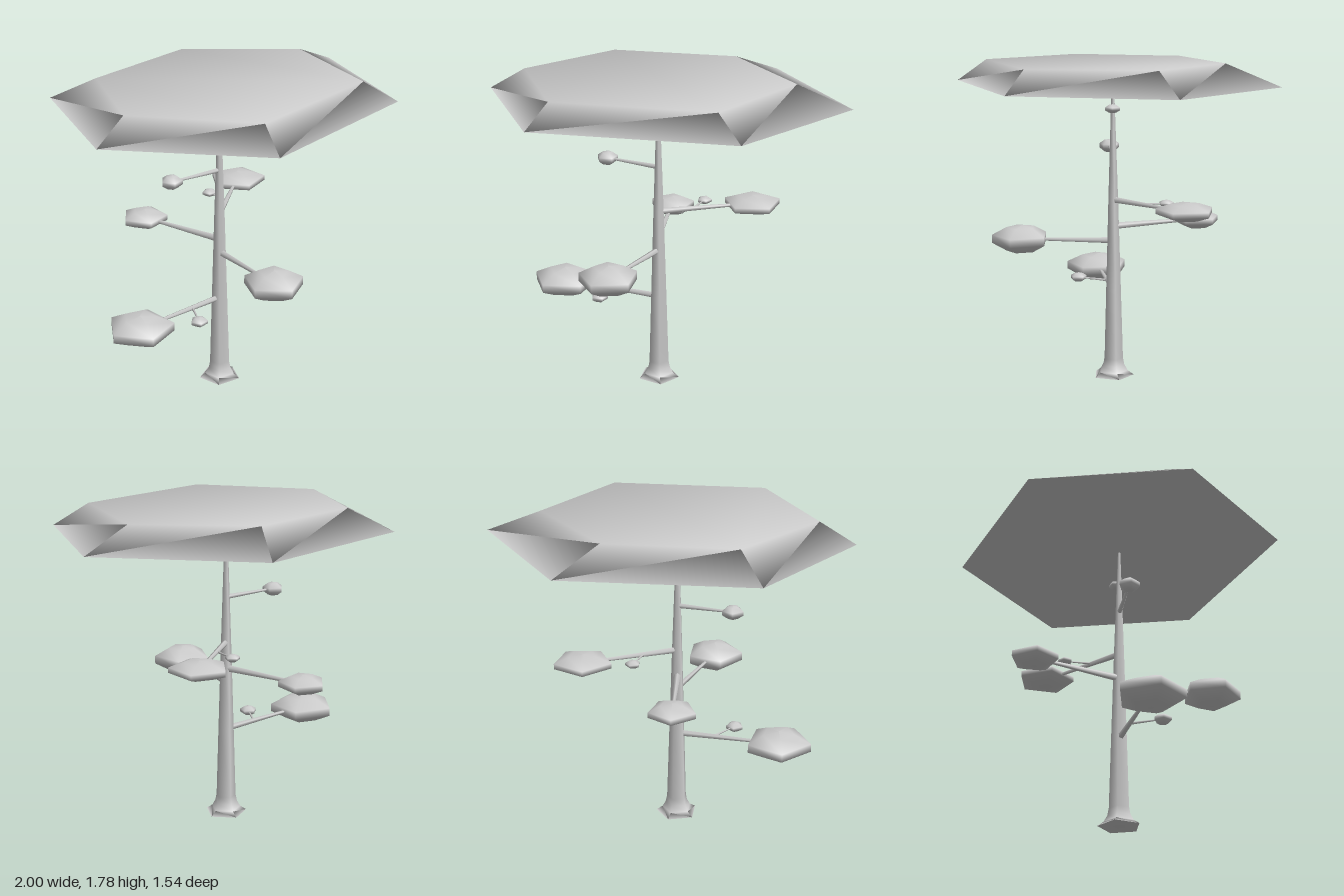
import * as THREE from 'three';

const material = new THREE.MeshStandardMaterial({ color: 0xcccccc, side: THREE.DoubleSide });
const SIDES = 5;
const TRUNK_X = -0.047, TRUNK_Z = 0.005;

function addMesh(group, name, geometry) {
  const mesh = new THREE.Mesh(geometry, material);
  mesh.name = name;
  group.add(mesh);
  return mesh;
}

// Five-sided turned form with one corner pointing along the angle given
function turned(profile, angle) {
  return new THREE.LatheGeometry(profile.map(([r, y]) => new THREE.Vector2(r, y)), SIDES, angle);
}

// Tapered stick between two points
function addStick(group, name, from, to, r0, r1) {
  const dir = to.clone().sub(from);
  const stick = addMesh(group, name, new THREE.CylinderGeometry(r1, r0, dir.length(), SIDES));
  stick.position.copy(from).addScaledVector(dir, 0.5);
  stick.quaternion.setFromUnitVectors(new THREE.Vector3(0, 1, 0), dir.normalize());
}

// Branch with a flattened five-sided leaf clump, one corner facing outwards
const CLUMP = [[0, -1], [0.5, -0.88], [1, -0.3], [1, 0.3], [0.5, 0.88], [0, 1]];
function addBranch(group, name, start, centre, radius, halfHeight, thickness) {
  const from = new THREE.Vector3(...start), mid = new THREE.Vector3(...centre);
  const out = mid.clone().sub(from).setY(0).normalize();
  const branch = new THREE.Group();
  branch.name = name;
  const clump = addMesh(branch, 'leafClump', turned(CLUMP, Math.atan2(out.x, out.z)));
  clump.scale.set(radius, halfHeight, radius);
  clump.position.copy(mid).addScaledVector(out, -0.095 * radius);
  const tip = clump.position.clone().addScaledVector(out, -0.6 * radius);
  addStick(branch, 'stick', from, tip, thickness, thickness * 0.5);
  group.add(branch);
}

// Thin hexagonal canopy: flat top and underside joined by a sloped rim,
// with normals shared across the edges so that the rim shades softly
function canopyGeometry() {
  const rings = [
    { y: 1.665, up: -1, pts: [[-1, 0], [-0.56, -0.75], [0.48, -0.775], [1, 0], [0.54, 0.755], [-0.55, 0.77]] },
    { y: 1.785, up: 1, pts: [[-0.8, 0], [-0.43, -0.53], [0.28, -0.53], [0.7, 0], [0.4, 0.62], [-0.47, 0.62]] },
  ];
  const positions = [], normals = [], index = [];
  for (const { y, up, pts } of rings) {
    for (const [x, z] of pts) {
      const normal = new THREE.Vector3(x, 0, z).setLength(0.4).setY(up * 0.92).normalize();
      positions.push(x, y, z);
      normals.push(...normal.toArray());
    }
  }
  for (let i = 0; i < 6; i++) {
    const j = (i + 1) % 6;
    index.push(j, i, 6 + i, j, 6 + i, 6 + j);
  }
  for (const [a, b, c] of [[0, 1, 5], [1, 2, 4], [1, 4, 5], [2, 3, 4]]) {
    index.push(a, b, c, 6 + a, 6 + c, 6 + b);
  }
  const geometry = new THREE.BufferGeometry();
  geometry.setAttribute('position', new THREE.Float32BufferAttribute(positions, 3));
  geometry.setAttribute('normal', new THREE.Float32BufferAttribute(normals, 3));
  geometry.setIndex(index);
  return geometry;
}

export function createModel() {
  const tree = new THREE.Group();
  tree.name = 'tree';

  // Tapering trunk with a flared foot
  const trunk = addMesh(tree, 'trunk', turned([
    [0, 0], [0.12, 0], [0.085, 0.025], [0.066, 0.06], [0.058, 0.1],
    [0.046, 0.5], [0.03, 1.02], [0.017, 1.4], [0.007, 1.68],
  ], Math.PI / 2));
  trunk.position.set(TRUNK_X, 0, TRUNK_Z);

  addMesh(tree, 'canopy', canopyGeometry());

  // Main branches from the trunk: name, start height, clump centre, radius, half height, thickness
  const branches = [
    ['lowBranch', 0.505, [-0.645, 0.512, -0.085], 0.185, 0.077, 0.018],
    ['frontBranch', 0.785, [-0.21, 0.792, 0.51], 0.165, 0.077, 0.018],
    ['backBranch', 0.865, [-0.087, 0.87, -0.528], 0.132, 0.051, 0.02],
    ['leftBranch', 1.015, [0.452, 1.013, -0.255], 0.163, 0.048, 0.018],
    ['rightBranch', 1.275, [-0.363, 1.28, -0.075], 0.06, 0.038, 0.014],
    ['topBranch', 1.543, [0.122, 1.543, 0.06], 0.043, 0.024, 0.006],
  ];
  for (const [name, y, ...rest] of branches) addBranch(tree, name, [TRUNK_X, y, TRUNK_Z], ...rest);

  // Side twigs growing from two of the branches
  addBranch(tree, 'lowTwig', [-0.25, 0.507, -0.03], [-0.368, 0.511, 0.118], 0.049, 0.027, 0.008);
  addBranch(tree, 'leftTwig', [0.13, 1.015, -0.09], [0.167, 1.015, -0.24], 0.042, 0.021, 0.007);

  return tree;
}
